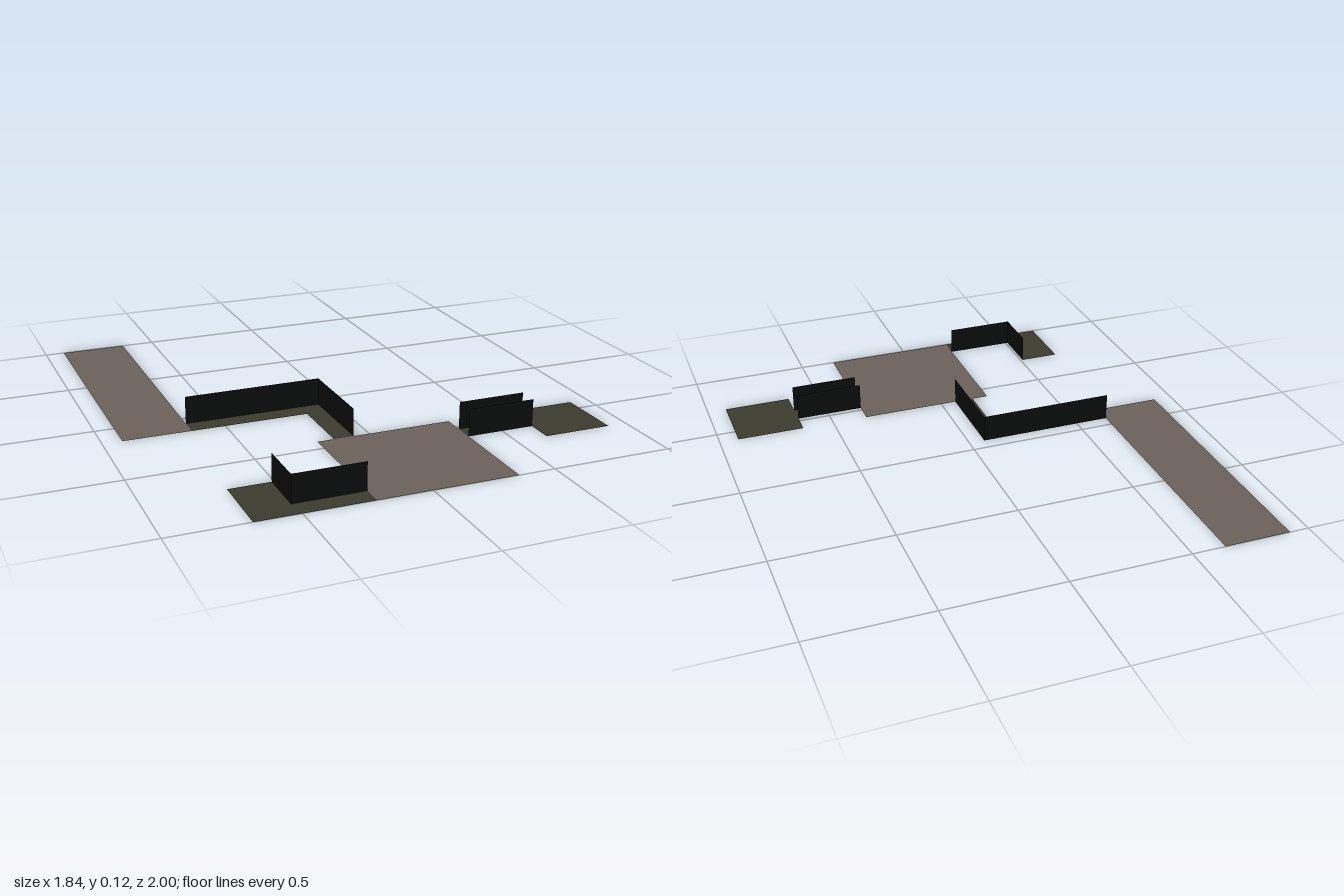
import * as THREE from 'three';

const WALL_HEIGHT = 0.115;

const mat = (name, color) => {
  const m = new THREE.MeshStandardMaterial({ color, side: THREE.DoubleSide });
  m.name = name;
  return m;
};

export function createModel() {
  const group = new THREE.Group();
  const stone = mat('warm grey stone', 0x6a6259);
  const moss = mat('dark olive', 0x3a3a2d);
  const black = mat('near black', 0x0a0b0b);

  // Flat floor slab between two corners in plan
  const floor = (name, material, x0, z0, x1, z1) => {
    const geo = new THREE.PlaneGeometry(x1 - x0, z1 - z0).rotateX(-Math.PI / 2);
    const mesh = new THREE.Mesh(geo, material);
    mesh.position.set((x0 + x1) / 2, 0, (z0 + z1) / 2);
    mesh.name = name;
    group.add(mesh);
  };

  // Thin upright walls following a path of [x, z] points
  const walls = (name, path) => {
    const run = new THREE.Group();
    run.name = name;
    for (let i = 1; i < path.length; i++) {
      const [x0, z0] = path[i - 1];
      const [x1, z1] = path[i];
      const geo = new THREE.PlaneGeometry(Math.hypot(x1 - x0, z1 - z0), WALL_HEIGHT);
      const mesh = new THREE.Mesh(geo, black);
      mesh.position.set((x0 + x1) / 2, WALL_HEIGHT / 2, (z0 + z1) / 2);
      mesh.rotation.y = -Math.atan2(z1 - z0, x1 - x0);
      mesh.name = 'wallPanel';
      run.add(mesh);
    }
    group.add(run);
  };

  // Rooms
  floor('longHallFloor', stone, -0.92, -1, -0.64, 0.14);
  floor('mainRoomFloor', stone, -0.22, 0.43, 0.35, 1);
  floor('sideRoomFloor', moss, 0.635, 0.43, 0.92, 0.715);

  // Bent corridor between the hall and the main room
  floor('bentCorridorFloor', moss, -0.64, 0.057, -0.067, 0.14);
  floor('bentCorridorFloorEnd', moss, -0.15, 0.14, -0.067, 0.43);
  walls('bentCorridorWalls', [[-0.64, 0.057], [-0.067, 0.057], [-0.067, 0.43]]);

  // Straight corridor to the side room
  floor('sideCorridorFloor', moss, 0.35, 0.52, 0.635, 0.602);
  for (const z of [0.52, 0.602]) walls('sideCorridorWall', [[0.35, z], [0.635, z]]);

  // Corner corridor and its alcove
  floor('cornerCorridorFloor', moss, -0.51, 0.915, -0.22, 1);
  floor('alcoveFloor', moss, -0.68, 0.715, -0.51, 1);
  walls('cornerCorridorWalls', [[-0.51, 0.715], [-0.51, 0.915], [-0.22, 0.915]]);

  return group;
}
